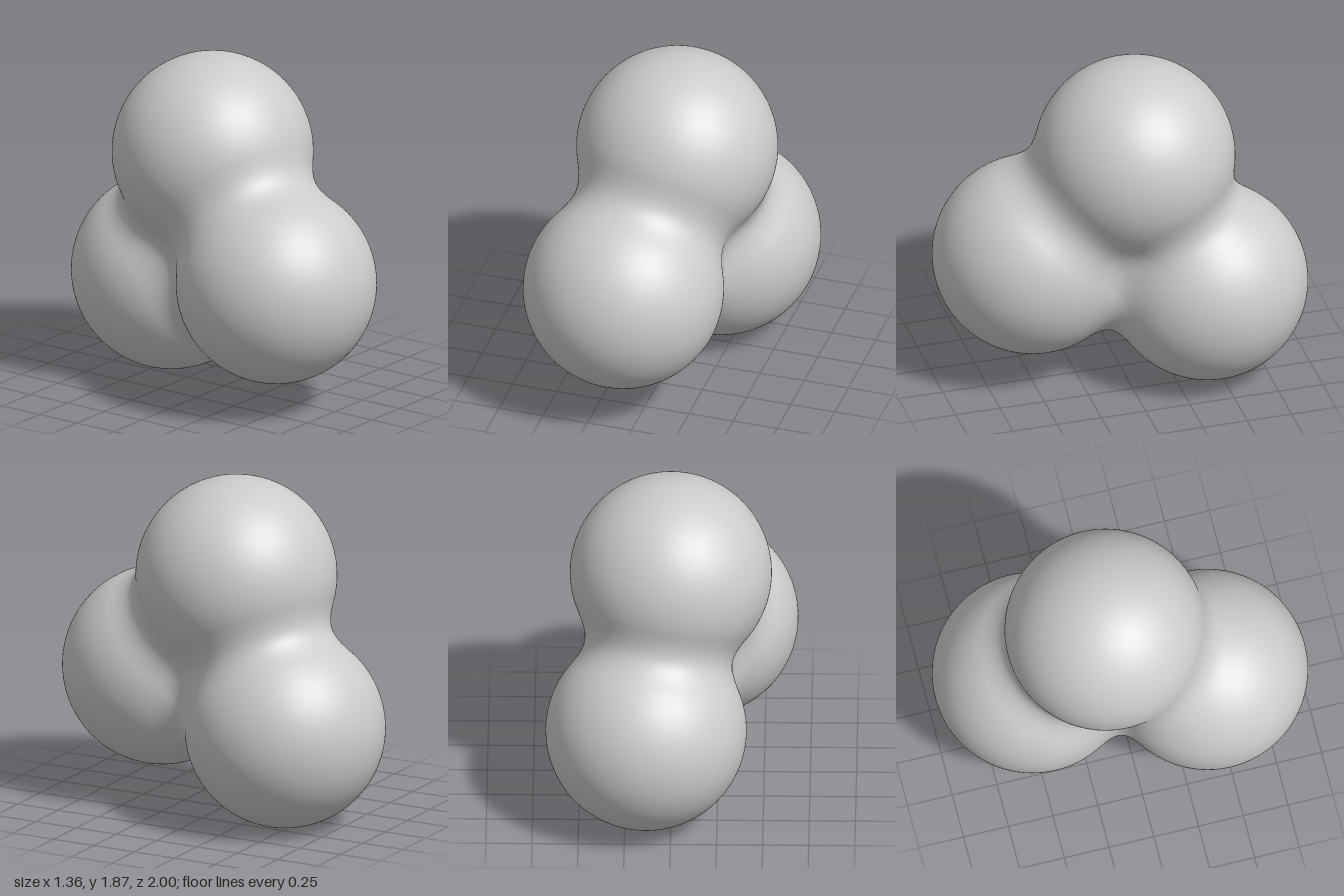
import * as THREE from 'three';
import { mergeVertices } from 'three/addons/utils/BufferGeometryUtils.js';

// Three round lobes: centre and radius
const LOBES = [
  { centre: new THREE.Vector3(0.005, 1.325, -0.08), radius: 0.547 }, // top
  { centre: new THREE.Vector3(-0.135, 0.71, 0.455), radius: 0.545 }, // front
  { centre: new THREE.Vector3(0.135, 0.548, -0.455), radius: 0.545 }, // back
];
const BLEND = 0.2; // width of the soft fillet between lobes
const CORE = new THREE.Vector3(0, 0.82, -0.03); // a point inside all lobes

// Smooth union of two distances
function smoothMin(a, b) {
  const h = Math.max(BLEND - Math.abs(a - b), 0) / BLEND;
  return Math.min(a, b) - (h * h * BLEND) / 4;
}

function distanceAt(p) {
  return LOBES.map((l) => p.distanceTo(l.centre) - l.radius).reduce(smoothMin);
}

// March from the core outward until the blended skin is reached
function pushToSkin(direction) {
  const p = CORE.clone();
  for (let i = 0; i < 200; i++) {
    const d = distanceAt(p);
    if (d > -1e-4) break;
    p.addScaledVector(direction, -d);
  }
  return p;
}

// Outward normal from the slope of the distance
function skinNormal(p) {
  const e = 0.004;
  const slope = (axis) => {
    const a = p.clone(), b = p.clone();
    a[axis] += e;
    b[axis] -= e;
    return distanceAt(a) - distanceAt(b);
  };
  return new THREE.Vector3(slope('x'), slope('y'), slope('z')).normalize();
}

export function createModel() {
  // Evenly divided ball, moved onto the blended skin
  let geometry = new THREE.IcosahedronGeometry(1, 55);
  geometry.deleteAttribute('uv');
  geometry.deleteAttribute('normal');
  geometry = mergeVertices(geometry, 1e-5);
  const position = geometry.attributes.position;
  const normals = new Float32Array(position.count * 3);
  const direction = new THREE.Vector3();
  for (let i = 0; i < position.count; i++) {
    direction.fromBufferAttribute(position, i).normalize();
    const p = pushToSkin(direction);
    position.setXYZ(i, p.x, p.y, p.z);
    skinNormal(p).toArray(normals, i * 3);
  }
  geometry.setAttribute('normal', new THREE.BufferAttribute(normals, 3));

  const skin = new THREE.Mesh(geometry, new THREE.MeshStandardMaterial({ color: 0xcccccc }));
  skin.name = 'blendedLobes';
  const group = new THREE.Group();
  group.name = 'threeLobedBlob';
  group.add(skin);
  return group;
}
